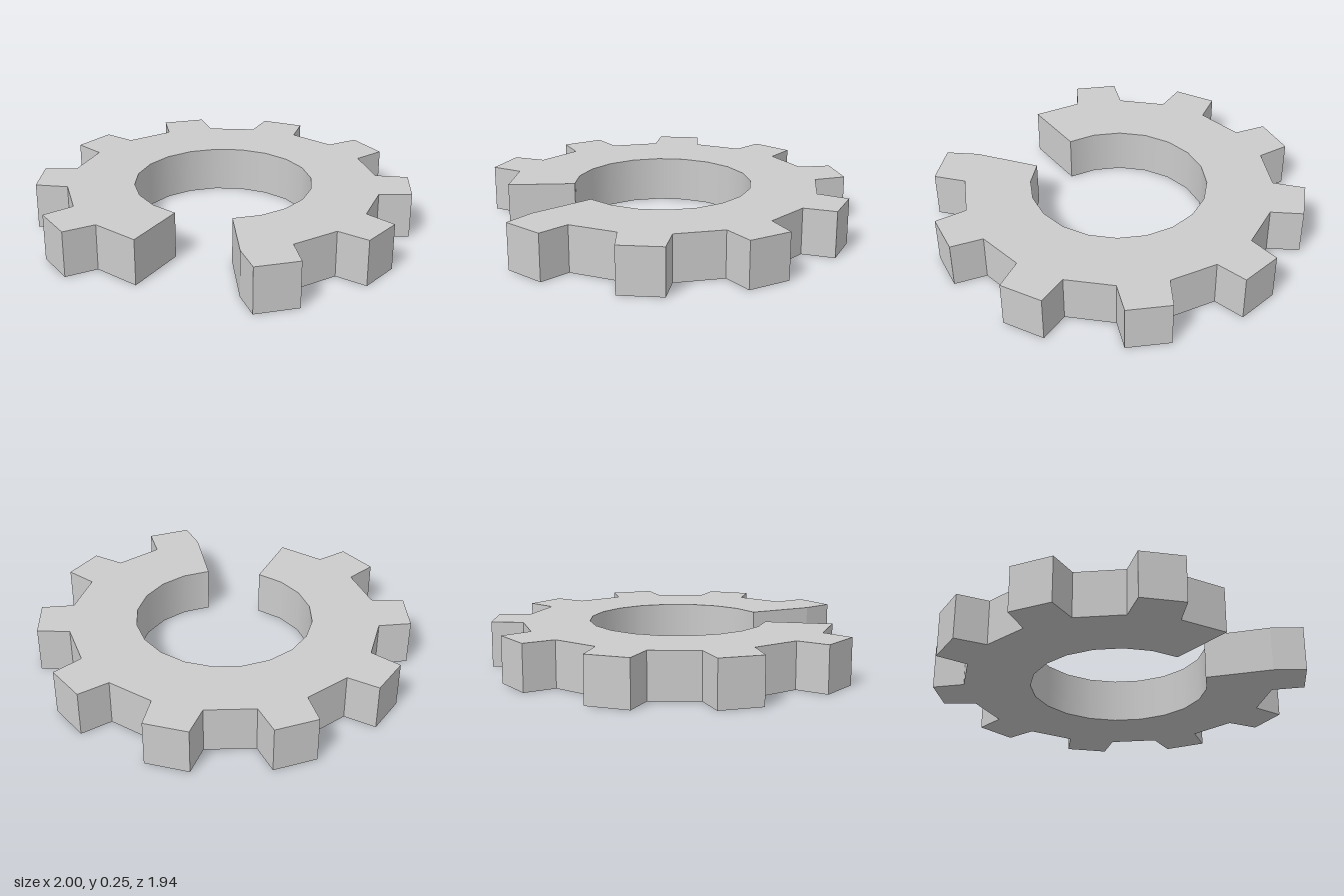
import * as THREE from 'three';

const ROOT = 0.83, TIP = 1.0, BORE = 0.475; // radii
const HEIGHT = 0.245, CENTRE_Z = 0.031;
const STEP = 18, INSET = 2.35; // degrees

// Point at an angle measured from the back (-z) towards +x
function polar(deg, r) {
  const a = THREE.MathUtils.degToRad(deg);
  return new THREE.Vector2(Math.sin(a) * r, -Math.cos(a) * r);
}

export function createModel() {
  const group = new THREE.Group();
  group.name = 'openGear';

  // Outer edge runs from one side of the front gap round to the other
  const outline = [];
  for (let deg = 198; deg <= 522; deg += STEP) {
    outline.push(polar(deg, ROOT));
    // a tapered tooth on every second segment
    if (deg % 36 === 0) {
      outline.push(polar(deg + INSET, TIP), polar(deg + STEP - INSET, TIP));
    }
  }
  // Bore, back to the start
  for (let deg = 522; deg >= 198; deg -= STEP) outline.push(polar(deg, BORE));

  const geometry = new THREE.ExtrudeGeometry(new THREE.Shape(outline), {
    depth: HEIGHT, bevelEnabled: false,
  });

  // Smooth the bore wall; every other face stays flat
  const pos = geometry.attributes.position, nor = geometry.attributes.normal;
  for (let i = 0; i < pos.count; i++) {
    const x = pos.getX(i), y = pos.getY(i), r = Math.hypot(x, y);
    const inward = -(x * nor.getX(i) + y * nor.getY(i)) / r;
    if (r < BORE + 0.01 && inward > 0.9) nor.setXYZ(i, -x / r, -y / r, 0);
  }

  geometry.rotateX(Math.PI / 2);
  geometry.translate(0, HEIGHT, CENTRE_Z);

  const gear = new THREE.Mesh(geometry, new THREE.MeshStandardMaterial({ color: 0xcccccc }));
  gear.name = 'gearRing';
  group.add(gear);
  return group;
}
